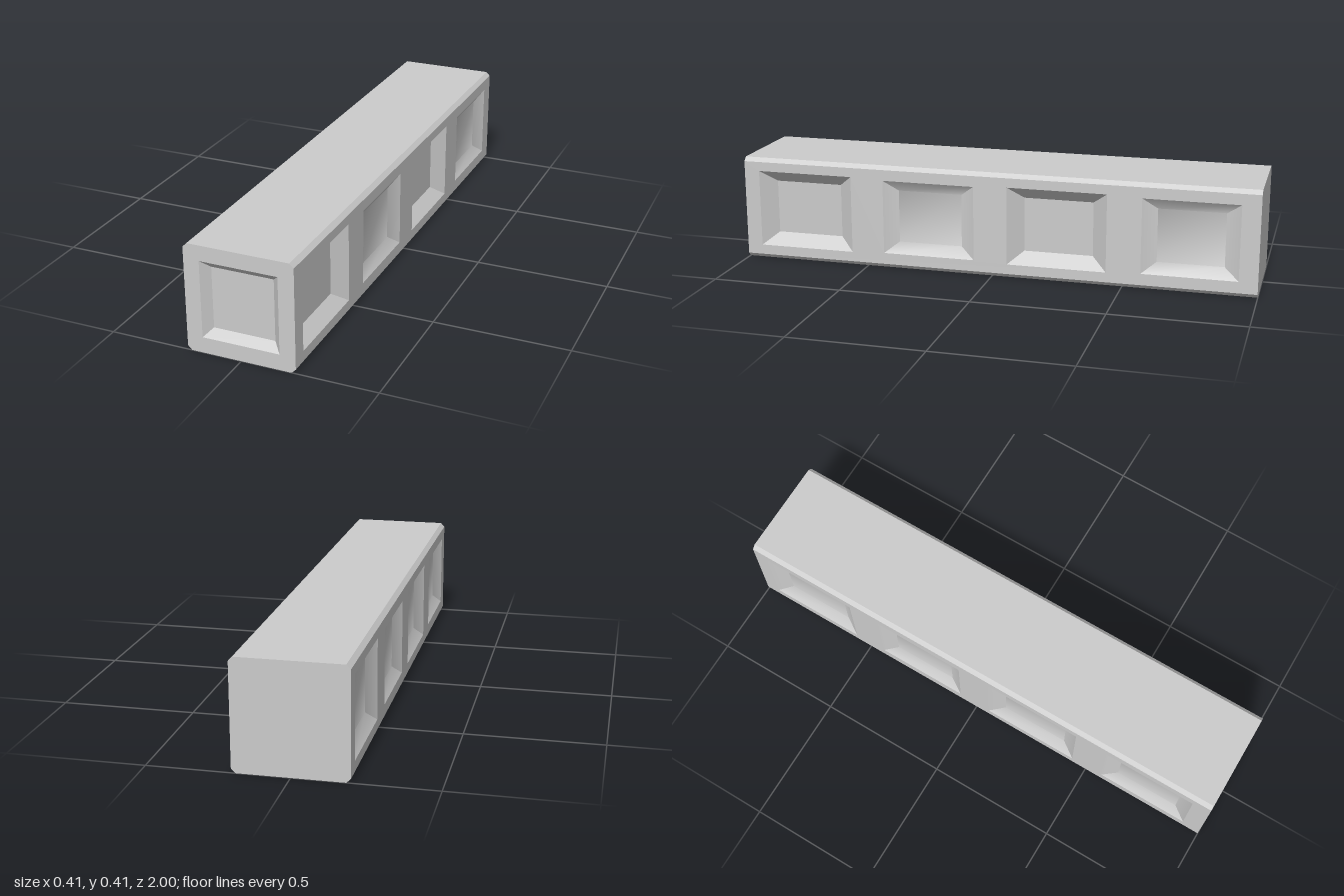
import * as THREE from 'three';
import { mergeGeometries, toCreasedNormals } from 'three/addons/utils/BufferGeometryUtils.js';

const H = 0.2025; // half width and half height
const C = 0.0155; // corner chamfer
const L = 1; // half length
const CREASE = 0.7;

// Rectangle corners, counter-clockwise
function rect(cx, cy, hw, hh) {
  return [[cx - hw, cy - hh], [cx + hw, cy - hh], [cx + hw, cy + hh], [cx - hw, cy + hh]]
    .map(([x, y]) => new THREE.Vector2(x, y));
}

// Flat wall facing +z, with a rectangular opening for each recess
function wall(outline, recesses = []) {
  const shape = new THREE.Shape(outline);
  for (const r of recesses) shape.holes.push(new THREE.Path(rect(r.x, r.y, r.hw, r.hh).reverse()));
  return new THREE.ShapeGeometry(shape).toNonIndexed();
}

// Recessed panel: four sloping sides and a floor
function recess({ x, y, hw, hh, inX, inY, depth, soft }) {
  const outer = rect(x, y, hw, hh).map((p) => [p.x, p.y, 0]);
  const inner = rect(x, y, hw - inX, hh - inY).map((p) => [p.x, p.y, -depth]);
  const pos = [];
  const quad = (a, b, c, d) => pos.push(...a, ...b, ...c, ...a, ...c, ...d);
  for (let i = 0; i < 4; i++) {
    const j = (i + 1) % 4;
    quad(outer[i], outer[j], inner[j], inner[i]);
  }
  quad(...inner);
  const geo = new THREE.BufferGeometry();
  geo.setAttribute('position', new THREE.Float32BufferAttribute(pos, 3));
  geo.computeVertexNormals();
  return soft ? toCreasedNormals(geo, CREASE) : geo;
}

export function createModel() {
  const group = new THREE.Group();
  group.name = 'panelledBeam';
  const material = new THREE.MeshStandardMaterial({ color: 0xcccccc });

  function add(name, geo, parent = group) {
    const mesh = new THREE.Mesh(geo, material);
    mesh.name = name;
    parent.add(mesh);
    return mesh;
  }

  // A wall and its recesses, turned about y and moved into place
  function panelledWall(name, outline, recesses, angle, x, z) {
    const part = new THREE.Group();
    part.name = name;
    part.rotation.y = angle;
    part.position.set(x, H, z);
    add(name + 'Face', wall(outline, recesses), part);
    recesses.forEach((r, i) => add(name + 'Recess' + (i + 1), recess(r), part));
    group.add(part);
  }

  // Chamfered square ends
  const K = H - C;
  const octagon = [[-K, -H], [K, -H], [H, -K], [H, K], [K, H], [-K, H], [-H, K], [-H, -K]]
    .map(([x, y]) => new THREE.Vector2(x, y));
  panelledWall('frontEnd', octagon,
    [{ x: 0, y: 0.001, hw: 0.144, hh: 0.144, inX: 0.029, inY: 0.029, depth: 0.03 }], 0, 0, L);
  panelledWall('backEnd', octagon, [], Math.PI, 0, -L);

  // Long sides: wide and narrow recesses alternate
  const sideOutline = rect(0, 0, L, K);
  function sideRecesses(allSoft) {
    return [-0.75, -0.25, 0.25, 0.75].map((x, i) => {
      const wide = i % 2 === 0;
      const soft = allSoft || !wide;
      return {
        x, y: 0.001, soft,
        hw: wide ? 0.19 : 0.18,
        hh: wide ? 0.15 : 0.144,
        inX: wide ? 0.058 : 0.055,
        inY: wide ? 0.046 : 0.042,
        depth: soft ? (wide ? 0.033 : 0.03) : 0.045,
      };
    });
  }
  panelledWall('leftSide', sideOutline, sideRecesses(false), Math.PI / 2, H, 0);
  panelledWall('rightSide', sideOutline, sideRecesses(true), -Math.PI / 2, -H, 0);

  // Top and bottom
  for (const s of [1, -1]) {
    const geo = new THREE.PlaneGeometry(2 * K, 2 * L);
    geo.rotateX(-s * Math.PI / 2).translate(0, H + s * H, 0);
    add(s > 0 ? 'top' : 'bottom', geo);
  }

  // Chamfer strips along the four long edges
  const strips = [];
  for (let i = 0; i < 4; i++) {
    const strip = new THREE.PlaneGeometry(C * Math.SQRT2, 2 * L);
    strip.rotateX(-Math.PI / 2).translate(0, (H + K) / Math.SQRT2, 0);
    strip.rotateZ(Math.PI / 4 + i * Math.PI / 2).translate(0, H, 0);
    strips.push(strip);
  }
  add('edgeChamfers', mergeGeometries(strips));

  return group;
}
